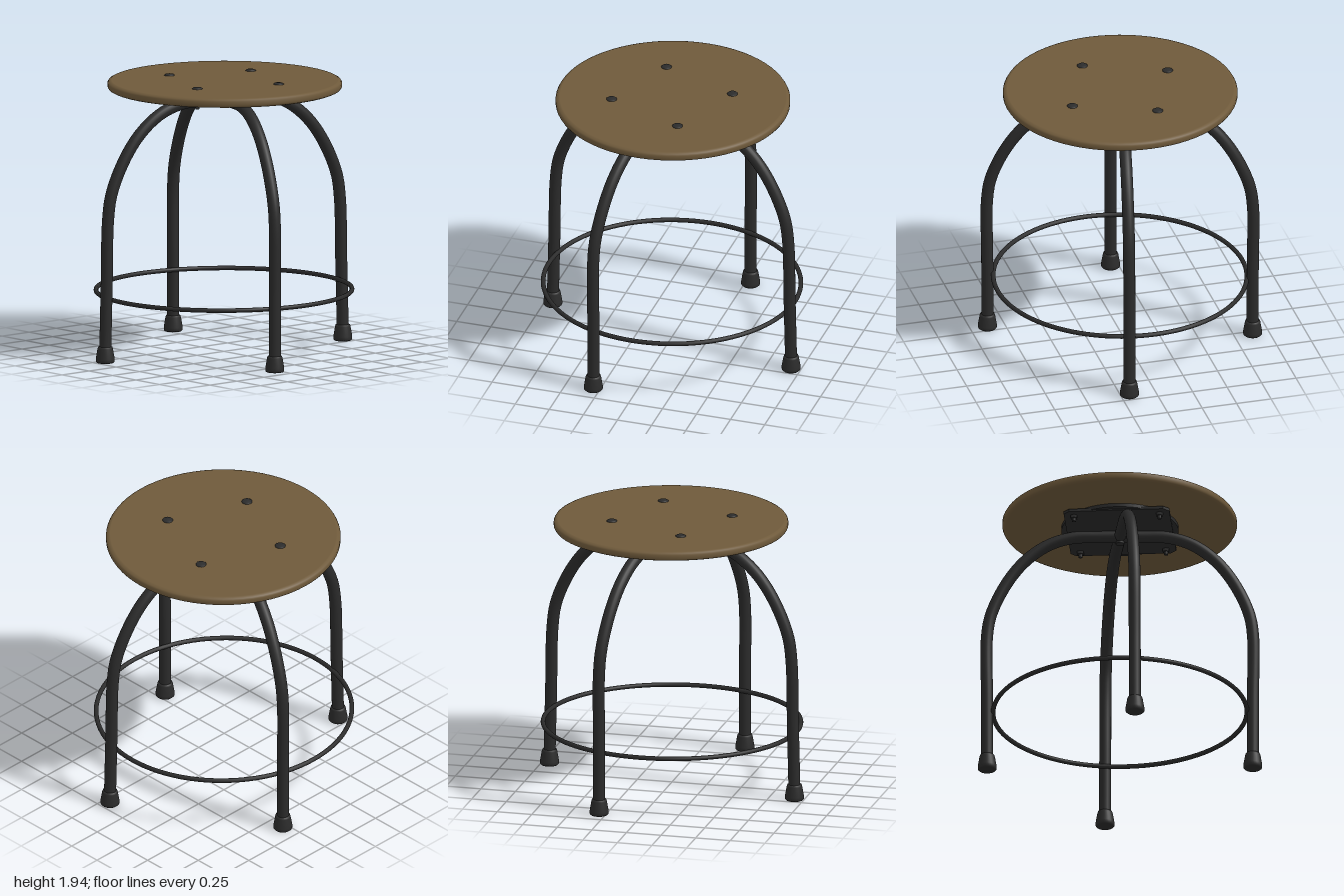
import * as THREE from 'three';

const metal = new THREE.MeshStandardMaterial({ color: 0x2b2b2b });
metal.name = 'dark metal';
const wood = new THREE.MeshStandardMaterial({ color: 0x6f5a3b });
wood.name = 'brown wood';

function part(parent, name, geometry, material, x = 0, y = 0, z = 0) {
  const mesh = new THREE.Mesh(geometry, material);
  mesh.name = name;
  mesh.position.set(x, y, z);
  parent.add(mesh);
  return mesh;
}

const lathe = (points, sides) =>
  new THREE.LatheGeometry(points.map(([r, y]) => new THREE.Vector2(r, y)), sides);

// One bent tube making two opposite legs, with a rubber-style foot on each end
function legArch(name, footX, footZ) {
  const arch = new THREE.Group();
  arch.name = name;
  const reach = Math.hypot(footX, footZ);
  const half = [
    [reach, 0.06], [(reach + 0.93) / 2, 0.55], [0.93, 1.02], [0.9, 1.2],
    [0.79, 1.44], [0.66, 1.61], [0.5, 1.73], [0.33, 1.785], [0.15, 1.79],
  ].map(([r, y]) => new THREE.Vector3(r, y, 0));
  const mirrored = half.map((p) => new THREE.Vector3(-p.x, p.y, 0)).reverse();
  const path = new THREE.CatmullRomCurve3([...half, ...mirrored]);
  part(arch, 'legTube', new THREE.TubeGeometry(path, 96, 0.042, 20), metal);

  const foot = lathe([
    [0, 0], [0.058, 0], [0.066, 0.008], [0.066, 0.03], [0.054, 0.1],
    [0.05, 0.112], [0.04, 0.114],
  ], 28);
  for (const side of [1, -1]) part(arch, 'foot', foot, metal, side * reach);
  arch.rotation.y = -Math.atan2(footZ, footX);
  return arch;
}

export function createModel() {
  const stool = new THREE.Group();
  stool.name = 'stool';

  // Round seat with softened edges
  const seat = lathe([
    [0, 1.86], [0.79, 1.86], [0.798, 1.861], [0.813, 1.868], [0.82, 1.88],
    [0.82, 1.905], [0.813, 1.917], [0.798, 1.924], [0.79, 1.925], [0, 1.925],
  ], 72);
  part(stool, 'seat', seat, wood, 0, 0, -0.007);

  // Legs
  stool.add(legArch('sideLegs', 0.88, 0.295));
  stool.add(legArch('frontBackLegs', -0.19, 0.935));
  part(stool, 'centreBolt', new THREE.CylinderGeometry(0.03, 0.03, 0.1, 16), metal, 0, 1.785, 0);

  // Foot ring
  const ring = part(stool, 'footRing', new THREE.TorusGeometry(0.885, 0.016, 12, 96), metal, 0, 0.44, 0);
  ring.rotation.x = Math.PI / 2;
  ring.scale.y = 1.02;

  // Mounting plate: square with clipped corners over a round disc
  const mount = new THREE.Group();
  mount.name = 'mount';
  mount.rotation.y = -0.385;
  stool.add(mount);
  const h = 0.37, c = 0.33;
  const outline = new THREE.Shape([
    [h, -c], [h, c], [c, h], [-c, h], [-h, c], [-h, -c], [-c, -h], [c, -h],
  ].map(([x, y]) => new THREE.Vector2(x, y)));
  const plate = new THREE.ExtrudeGeometry(outline, { depth: 0.02, bevelEnabled: false });
  plate.rotateX(-Math.PI / 2);
  part(mount, 'mountingPlate', plate, metal, 0, 1.826, 0);
  part(mount, 'mountingDisc', new THREE.CylinderGeometry(0.41, 0.41, 0.027, 48), metal, 0, 1.848, 0);

  // Bolts through the seat: domed head on top, shank and nut below
  const head = lathe([[0.037, 1.92], [0.037, 1.928], [0.028, 1.935], [0, 1.938]], 20);
  for (const x of [-0.3, 0.3]) {
    for (const z of [-0.3, 0.3]) {
      part(mount, 'boltHead', head, metal, x, 0, z);
      part(mount, 'boltShank', new THREE.CylinderGeometry(0.014, 0.014, 0.09, 12), metal, x, 1.827, z);
      part(mount, 'nut', new THREE.CylinderGeometry(0.026, 0.026, 0.022, 6), metal, x, 1.815, z);
    }
  }
  return stool;
}
